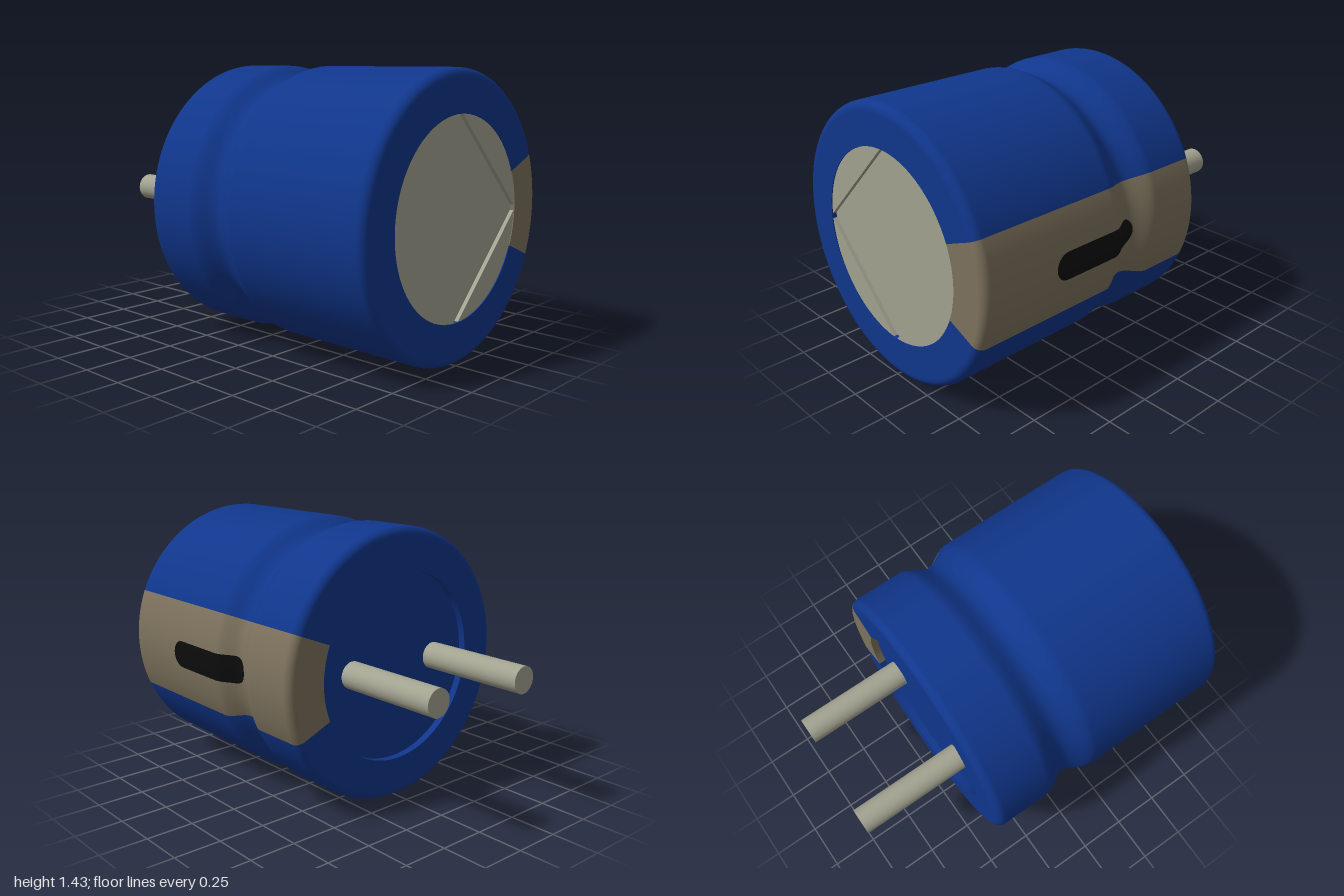
import * as THREE from 'three';

const R = 0.714, HOLE = 0.5, BACK = -0.428, FRONT = 1, FILLET = 0.045;
const STRIPE = Math.PI / 4; // angle covered by the stripe

const material = (name, color, side = THREE.FrontSide) => {
  const m = new THREE.MeshStandardMaterial({ color, side });
  m.name = name;
  return m;
};

// Outer radius along the axis, with the crimped groove
function radiusAt(z) {
  const d = Math.abs(z - 0.03) / 0.155;
  return d < 1 ? R - 0.059 * (0.5 + 0.5 * Math.cos(Math.PI * d)) : R;
}

// Sleeve profile from the back opening round to the front opening
function sleeveProfile() {
  const pts = [new THREE.Vector2(HOLE, BACK), new THREE.Vector2(R - FILLET - 0.005, BACK)];
  const fillet = (z, from) => {
    for (let i = 0; i <= 8; i++) {
      const a = from + (i / 8) * Math.PI / 2;
      pts.push(new THREE.Vector2(R - FILLET + FILLET * Math.cos(a), z + FILLET * Math.sin(a)));
    }
  };
  fillet(BACK + FILLET, -Math.PI / 2);
  for (let i = 0; i <= 32; i++) {
    const z = -0.13 + (i / 32) * 0.32;
    pts.push(new THREE.Vector2(radiusAt(z), z));
  }
  fillet(FRONT - FILLET, 0);
  pts.push(new THREE.Vector2(R - FILLET - 0.005, FRONT), new THREE.Vector2(HOLE, FRONT));
  return pts;
}

// Rounded label mark wrapped on the sleeve
function markGeometry() {
  const half = 0.0725, length = 0.57;
  const geo = new THREE.PlaneGeometry(1, 1, 90, 8);
  const p = geo.attributes.position;
  for (let i = 0; i < p.count; i++) {
    const s = Math.sin(p.getX(i) * Math.PI) * length / 2;
    const over = Math.max(0, Math.abs(s) - (length / 2 - half));
    const y = 2 * p.getY(i) * Math.sqrt(Math.max(0, half * half - over * over));
    const z = length / 2 - s;
    const r = radiusAt(z) + 0.003;
    p.setXYZ(i, Math.sqrt(r * r - y * y), y, z);
  }
  geo.computeVertexNormals();
  return geo;
}

export function createModel() {
  const group = new THREE.Group();
  const blue = material('blue sleeve', 0x10368c, THREE.DoubleSide);
  const tan = material('tan stripe', 0x7d725d, THREE.DoubleSide);
  const metal = material('grey metal', 0xa3a391);
  const black = material('black mark', 0x0c0c0c, THREE.DoubleSide);

  const add = (name, geo, mat, x = 0, z = 0) => {
    const mesh = new THREE.Mesh(geo, mat);
    mesh.name = name;
    mesh.position.set(x, R, z);
    group.add(mesh);
    return mesh;
  };

  // Sleeve and stripe sectors, each with the walls of the two openings
  const profile = sleeveProfile();
  const sector = (name, mat, start, sweep, segments) => {
    const lathe = pts => new THREE.LatheGeometry(pts, segments, start, sweep).rotateX(Math.PI / 2);
    const wall = (a, b) => lathe([new THREE.Vector2(HOLE, b), new THREE.Vector2(HOLE, a)]);
    add(name, lathe(profile), mat);
    add(name + 'BackWall', wall(BACK, BACK + 0.04), mat);
    add(name + 'FrontWall', wall(FRONT - 0.03, FRONT), mat);
  };
  sector('sleeve', blue, Math.PI / 2 + STRIPE / 2, 2 * Math.PI - STRIPE, 126);
  sector('stripe', tan, Math.PI / 2 - STRIPE / 2, STRIPE, 18);
  add('mark', markGeometry(), black);

  // Recessed back plate
  add('backPlate', new THREE.CircleGeometry(HOLE, 96).rotateY(Math.PI), blue, 0, BACK + 0.04);

  // Metal top: base disc with four raised quarters that leave a cross of grooves
  add('topBase', new THREE.CircleGeometry(HOLE, 96), metal, 0, FRONT - 0.025);
  const gap = 0.014, edge = HOLE - 0.001, a = Math.asin(gap / edge);
  const quarter = new THREE.Shape();
  quarter.moveTo(gap, gap);
  quarter.absarc(0, 0, edge, a, Math.PI / 2 - a, false);
  quarter.closePath();
  const quarterGeo = new THREE.ExtrudeGeometry(quarter, { depth: 0.021, bevelEnabled: false, curveSegments: 32 });
  for (let i = 0; i < 4; i++) {
    add('topQuarter', quarterGeo, metal, 0, FRONT - 0.025).rotation.z = i * Math.PI / 2;
  }

  // Two pins, one slightly longer
  for (const [name, x, end] of [['longPin', -0.287, -1], ['shortPin', 0.283, -0.97]]) {
    const start = BACK + 0.05;
    const geo = new THREE.CylinderGeometry(0.071, 0.071, start - end, 40).rotateX(Math.PI / 2);
    add(name, geo, metal, x, (start + end) / 2);
  }
  return group;
}
